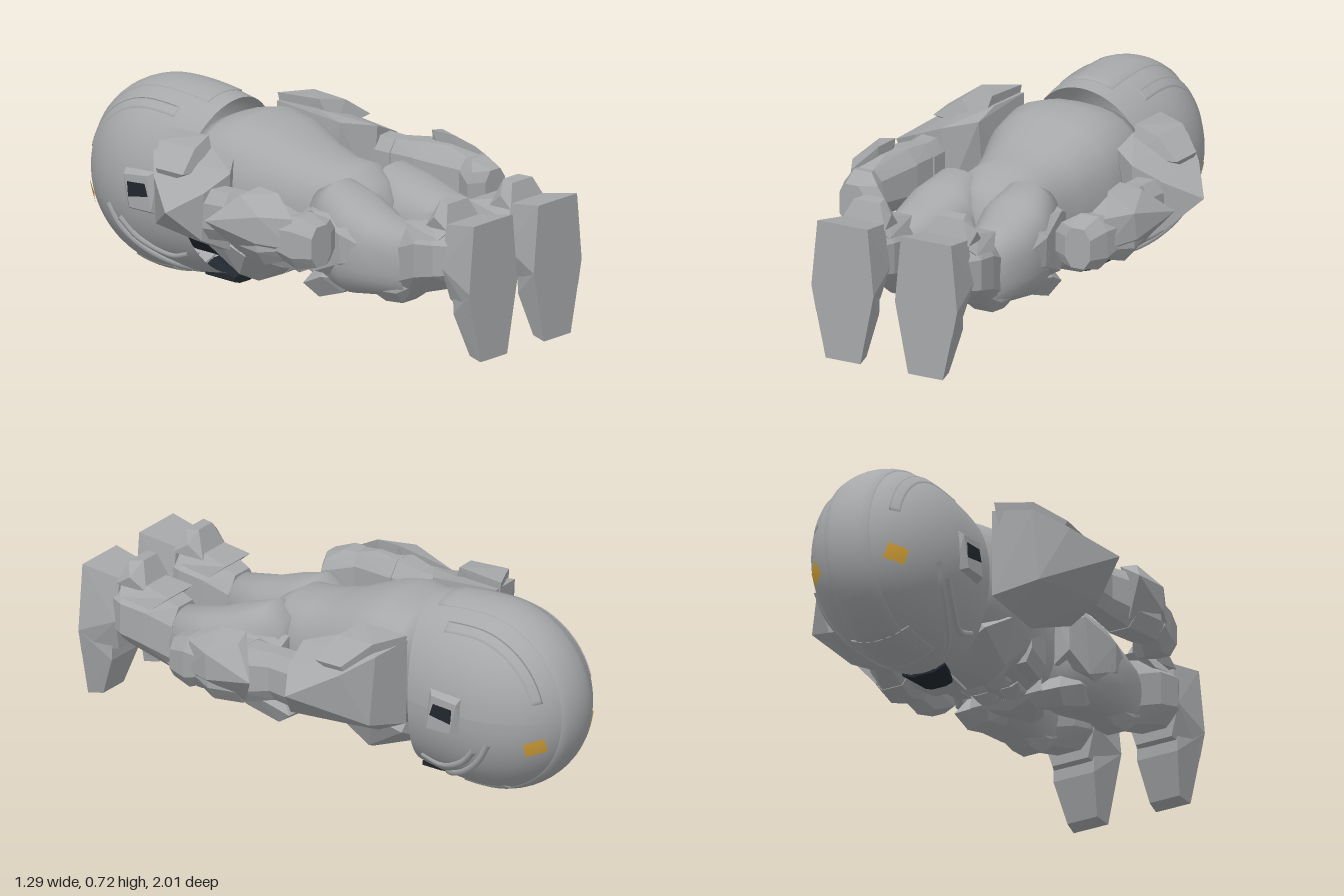
import * as THREE from 'three';
import { ConvexGeometry } from 'three/addons/geometries/ConvexGeometry.js';

const mat = (name, color, extra = {}) => Object.assign(new THREE.MeshStandardMaterial({ color, ...extra }), { name });

export function createModel() {
  const root = new THREE.Group();
  root.name = 'armouredFigure';
  const grey = mat('armourGrey', 0xa6a8aa, { side: THREE.DoubleSide });
  const dark = mat('darkGlass', 0x20272e, { side: THREE.DoubleSide });
  const amber = mat('amberLamp', 0xd9a53a, { side: THREE.DoubleSide });

  const add = (name, geo, m = grey) => {
    const mesh = new THREE.Mesh(geo, m);
    mesh.name = name;
    root.add(mesh);
    return mesh;
  };
  // Faceted plate: convex hull of a few corners, s mirrors it in x
  const hull = (name, pts, s = 1, m = grey) =>
    add(name, new ConvexGeometry(pts.map(([x, y, z]) => new THREE.Vector3(x * s, y, z))), m);
  // Rectangular sections [x0, x1, y0, y1, z] turned into hull corners, c cuts the corners
  const sections = (list, c = 0.25) => list.flatMap(([a, b, y0, y1, z]) => {
    const dx = (b - a) * c, dy = (y1 - y0) * c;
    return [[a + dx, y0, z], [b - dx, y0, z], [a + dx, y1, z], [b - dx, y1, z],
      [a, y0 + dy, z], [a, y1 - dy, z], [b, y0 + dy, z], [b, y1 - dy, z]];
  });

  // Smooth loft along z through rounded sections [cx, halfWidth, yLow, yHigh, z]
  const loft = (rings, power = 0.8, n = 28) => {
    const pos = [], idx = [];
    for (const [cx, w, y0, y1, z] of rings)
      for (let j = 0; j < n; j++) {
        const a = (j / n) * Math.PI * 2, c = Math.cos(a), s = Math.sin(a);
        pos.push(cx + w * Math.sign(c) * Math.abs(c) ** power,
          (y0 + y1) / 2 + ((y1 - y0) / 2) * Math.sign(s) * Math.abs(s) ** power, z);
      }
    for (let i = 0; i + 1 < rings.length; i++)
      for (let j = 0; j < n; j++) {
        const a = i * n + j, b = i * n + ((j + 1) % n);
        idx.push(a, b, a + n, b, b + n, a + n);
      }
    const ends = [rings[0], rings[rings.length - 1]];
    ends.forEach(([cx, , y0, y1, z], e) => {
      const k = pos.length / 3, o = e * (rings.length - 1) * n;
      pos.push(cx, (y0 + y1) / 2, z);
      for (let j = 0; j < n; j++) {
        const a = o + j, b = o + ((j + 1) % n);
        e ? idx.push(k, a, b) : idx.push(k, b, a);
      }
    });
    const g = new THREE.BufferGeometry();
    g.setAttribute('position', new THREE.Float32BufferAttribute(pos, 3));
    g.setIndex(idx);
    g.computeVertexNormals();
    return g;
  };

  // Regular grid sheet from a point rule
  const sheet = (nu, nv, rule) => {
    const g = new THREE.PlaneGeometry(1, 1, nu, nv), p = g.attributes.position;
    for (let v = 0; v <= nv; v++)
      for (let u = 0; u <= nu; u++) p.setXYZ(v * (nu + 1) + u, ...rule(u, v));
    g.computeVertexNormals();
    return g;
  };

  // Helmet shell: egg-shaped body of revolution, squashed in x
  const CY = 0.367, CZ = -0.64, W = 0.282, H = 0.353, L = 0.36;
  const radius = z => z < CZ ? Math.sqrt(Math.max(0, 1 - ((z - CZ) / L) ** 2)) : 1 - 0.1 * ((z - CZ) / 0.25) ** 2;
  const rim = (y, z) => z + (z > CZ ? 0.06 * ((z - CZ) / 0.22) * ((y - CY) / H) ** 2 : 0);
  add('helmet', sheet(56, 36, (u, v) => {
    const a = (u / 56) * Math.PI * 2;
    const z = v < 24 ? CZ - L * Math.cos((v / 24) * Math.PI / 2) : CZ + ((v - 24) / 12) * 0.22;
    const y = CY + H * radius(z) * Math.sin(a);
    return [W * radius(z) * Math.cos(a), y, rim(y, z)];
  }));

  // Raised strips that follow the helmet at constant x, from angle a0 to a1 (90 = top)
  const strip = (name, x0, x1, a0, a1, lift) => add(name, sheet(8, 40, (u, v) => {
    const k = Math.min(Math.max((u - 1) / 6, 0), 1), x = x0 + (x1 - x0) * k;
    const edge = u === 0 || u === 8 || v === 0 || v === 40;
    const a = a0 + (a1 - a0) * Math.min(Math.max((v - 1) / 38, 0), 1), r = a * Math.PI / 180;
    const f = edge ? 0.98 : 1 + lift / L;
    if (Math.abs(a) <= 90) {
      const s = Math.sqrt(1 - (x / W) ** 2) * f;
      return [x, CY + H * s * Math.sin(r), CZ - L * s * Math.cos(r)];
    }
    const z = CZ + (Math.abs(a) - 90) / 180;
    const y = CY + Math.sign(a) * H * f * Math.sqrt(radius(z) ** 2 - (x / W) ** 2);
    return [x, y, rim(y, z)];
  }));
  strip('helmetCrest', -0.092, 0.092, -90, 120, 0.006);
  strip('visorBrow', -0.12, 0.12, -100, -70, 0.006);
  const sideX = (y, z) => W * Math.sqrt(Math.max(0, radius(z) ** 2 - ((y - CY) / H) ** 2));

  for (const s of [1, -1]) {
    strip('helmetSideStrip', s * 0.15, s * 0.18, 15, 108, 0.005);
    // Ear cap with dark window
    hull('earCap', [[0.26, 0.28, -0.52], [0.26, 0.45, -0.52], [0.26, 0.45, -0.67], [0.26, 0.28, -0.67],
      [0.298, 0.3, -0.53], [0.296, 0.43, -0.55], [0.298, 0.42, -0.66], [0.298, 0.3, -0.63]], s);
    hull('earWindow', [[0.296, 0.355, -0.545], [0.296, 0.4, -0.56], [0.296, 0.395, -0.64], [0.296, 0.34, -0.635],
      [0.301, 0.355, -0.545], [0.301, 0.4, -0.56], [0.301, 0.395, -0.64], [0.301, 0.34, -0.635]], s, dark);
    // Brow lamp
    add('browLamp', sheet(4, 4, (u, v) => {
      const z = -0.885 - 0.058 * u / 4, y = 0.235 + 0.055 * v / 4 + 0.02 * u / 4;
      return [s * (sideX(y, z) + 0.006), y, z - 0.004];
    }), amber);
    // Ridges framing the face
    for (const path of [[[0.04, -0.44], [0.075, -0.53], [0.13, -0.64], [0.2, -0.72], [0.28, -0.77]],
      [[0.14, -0.44], [0.12, -0.52], [0.17, -0.64], [0.24, -0.71]]]) {
      const curve = new THREE.CatmullRomCurve3(path.map(([y, z]) => new THREE.Vector3(s * sideX(y, z), y, z)));
      add('faceRidge', new THREE.TubeGeometry(curve, 24, 0.013, 6));
    }
  }
  // Neck lining and chin piece
  add('neckLining', loft([[0, 0.2, 0.1, 0.56, -0.5], [0, 0.215, 0.1, 0.58, -0.4], [0, 0.13, 0.085, 0.35, -0.365]], 1), dark);
  hull('chinPiece', sections([[-0.09, 0.09, 0.02, 0.09, -0.45], [-0.055, 0.055, 0.012, 0.045, -0.34]]), 1, dark);

  // Torso, smooth back
  add('torso', loft([[0, 0.225, 0.3, 0.62, -0.42], [0, 0.265, 0.2, 0.65, -0.35], [0, 0.275, 0.13, 0.675, -0.24],
    [0, 0.262, 0.13, 0.65, -0.13], [0, 0.215, 0.15, 0.595, 0], [0, 0.185, 0.15, 0.565, 0.12],
    [0, 0.18, 0.15, 0.56, 0.22], [0, 0.12, 0.18, 0.51, 0.3], [0, 0.05, 0.22, 0.45, 0.35]]));
  // Pelvis plate and stomach plates
  hull('pelvisPlate', [[-0.15, 0.15, 0.12], [0.15, 0.15, 0.12], [-0.04, 0.15, 0.32], [0.04, 0.15, 0.32],
    [0, 0.115, 0.15], [0, 0.13, 0.31], [-0.14, 0.28, 0.14], [0.14, 0.28, 0.14], [0, 0.28, 0.34]]);

  for (const s of [1, -1]) {
    hull('chestPlate', [[0.005, 0.11, -0.34], [0.2, 0.2, -0.35], [0.26, 0.26, -0.26], [0.24, 0.2, -0.13],
      [0.005, 0.08, -0.15], [0.12, 0.075, -0.17], [0.19, 0.11, -0.2], [0.1, 0.14, -0.07], [0.01, 0.14, -0.07],
      [0.05, 0.3, -0.33], [0.05, 0.3, -0.1]], s);
    for (let i = 0; i < 2; i++)
      hull('stomachPlate', sections([[0.006, 0.1, 0.15, 0.2, -0.06 + i * 0.1], [0.012, 0.09, 0.125, 0.2, -0.02 + i * 0.1],
        [0.006, 0.085, 0.15, 0.2, 0.035 + i * 0.1]]), s);
    hull('sidePlate', sections([[0.12, 0.22, 0.18, 0.38, -0.06], [0.1, 0.195, 0.17, 0.36, 0.08]]), s);

    // Shoulder pad with spike and raised cap
    hull('shoulderPad', [[0.275, 0.61, -0.43], [0.27, 0.28, -0.42], [0.43, 0.59, -0.4], [0.44, 0.32, -0.38],
      [0.53, 0.53, -0.31], [0.55, 0.39, -0.26], [0.645, 0.45, -0.155], [0.52, 0.33, -0.09], [0.52, 0.51, -0.08],
      [0.4, 0.56, -0.06], [0.39, 0.27, -0.07], [0.3, 0.23, -0.2], [0.3, 0.24, -0.32], [0.29, 0.58, -0.14], [0.29, 0.61, -0.25]], s);
    hull('shoulderCap', [[0.29, 0.635, -0.44], [0.3, 0.645, -0.25], [0.42, 0.63, -0.38], [0.41, 0.625, -0.22],
      [0.52, 0.56, -0.31], [0.51, 0.555, -0.19], [0.3, 0.53, -0.42], [0.32, 0.53, -0.2], [0.48, 0.48, -0.32]], s);
    // Arm
    hull('upperArm', sections([[0.39, 0.52, 0.33, 0.52, -0.09], [0.385, 0.515, 0.34, 0.52, 0.01]]), s);
    hull('elbow', sections([[0.39, 0.51, 0.34, 0.52, 0], [0.395, 0.56, 0.31, 0.53, 0.13]]), s);
    hull('forearm', sections([[0.39, 0.56, 0.31, 0.53, 0.12], [0.42, 0.585, 0.31, 0.53, 0.23], [0.43, 0.54, 0.34, 0.5, 0.33]]), s);
    hull('forearmGuard', [[0.625, 0.45, 0.015], [0.55, 0.55, 0.12], [0.53, 0.33, 0.1], [0.595, 0.4, 0.23], [0.59, 0.5, 0.24],
      [0.47, 0.57, 0.14], [0.48, 0.565, 0.24], [0.53, 0.5, 0.35], [0.54, 0.39, 0.36], [0.5, 0.32, 0.24]], s);
    hull('hand', sections([[0.43, 0.56, 0.34, 0.5, 0.3], [0.4, 0.55, 0.31, 0.51, 0.36], [0.36, 0.46, 0.33, 0.48, 0.405], [0.42, 0.525, 0.33, 0.48, 0.44]]), s);

    // Leg
    add('thigh', loft([[s * 0.16, 0.08, 0.22, 0.5, 0.17], [s * 0.145, 0.125, 0.16, 0.545, 0.25], [s * 0.155, 0.15, 0.15, 0.51, 0.36],
      [s * 0.17, 0.125, 0.17, 0.465, 0.48], [s * 0.175, 0.088, 0.19, 0.44, 0.63]]));
    hull('hipPlate', [[0.19, 0.45, 0.15], [0.25, 0.42, 0.15], [0.25, 0.3, 0.15], [0.18, 0.26, 0.16], [0.275, 0.45, 0.22],
      [0.31, 0.4, 0.38], [0.305, 0.29, 0.38], [0.25, 0.46, 0.42], [0.25, 0.22, 0.4], [0.265, 0.33, 0.58], [0.28, 0.23, 0.24]], s);
    hull('thighPlate', [[0.08, 0.15, 0.12], [0.22, 0.15, 0.13], [0.1, 0.11, 0.17], [0.2, 0.105, 0.19], [0.25, 0.2, 0.24],
      [0.07, 0.18, 0.28], [0.12, 0.15, 0.32], [0.22, 0.15, 0.32], [0.24, 0.22, 0.4], [0.11, 0.22, 0.4], [0.16, 0.32, 0.25]], s);
    hull('kneePad', sections([[0.1, 0.25, 0.2, 0.34, 0.4], [0.1, 0.25, 0.158, 0.34, 0.52], [0.1, 0.25, 0.165, 0.34, 0.6], [0.11, 0.24, 0.22, 0.34, 0.68]]), s);
    hull('shin', sections([[0.09, 0.26, 0.2, 0.45, 0.62], [0.07, 0.29, 0.24, 0.49, 0.72], [0.065, 0.3, 0.27, 0.5, 0.82], [0.08, 0.275, 0.28, 0.5, 0.87]]), s);
    hull('calfPlate', [[0.1, 0.49, 0.64], [0.25, 0.49, 0.64], [0.08, 0.44, 0.7], [0.28, 0.44, 0.7], [0.12, 0.51, 0.74], [0.24, 0.51, 0.74],
      [0.08, 0.46, 0.83], [0.285, 0.46, 0.83], [0.12, 0.5, 0.86], [0.24, 0.5, 0.86]], s);
    hull('heelGuard', [[0.13, 0.59, 0.78], [0.21, 0.59, 0.78], [0.12, 0.585, 0.83], [0.23, 0.585, 0.83], [0.09, 0.54, 0.8],
      [0.27, 0.54, 0.8], [0.1, 0.49, 0.74], [0.25, 0.49, 0.74], [0.08, 0.5, 0.86], [0.27, 0.5, 0.86]], s);
    // Boot: upper, then toe reaching down to the flat sole
    hull('bootUpper', [[0.07, 0.545, 1], [0.28, 0.545, 1], [0.045, 0.295, 1], [0.305, 0.295, 1], [0.07, 0.21, 1], [0.285, 0.2, 1],
      [0.09, 0.52, 0.85], [0.26, 0.52, 0.85], [0.065, 0.36, 0.85], [0.285, 0.36, 0.85], [0.1, 0.24, 0.86], [0.25, 0.24, 0.86]], s);
    hull('bootToe', [[0.045, 0.295, 1], [0.305, 0.295, 1], [0.1, 0.03, 1], [0.245, 0.03, 1], [0.11, 0.04, 0.94], [0.235, 0.04, 0.94],
      [0.09, 0.19, 0.885], [0.26, 0.19, 0.885], [0.09, 0.3, 0.88], [0.26, 0.3, 0.88]], s);
  }
  return root;
}
